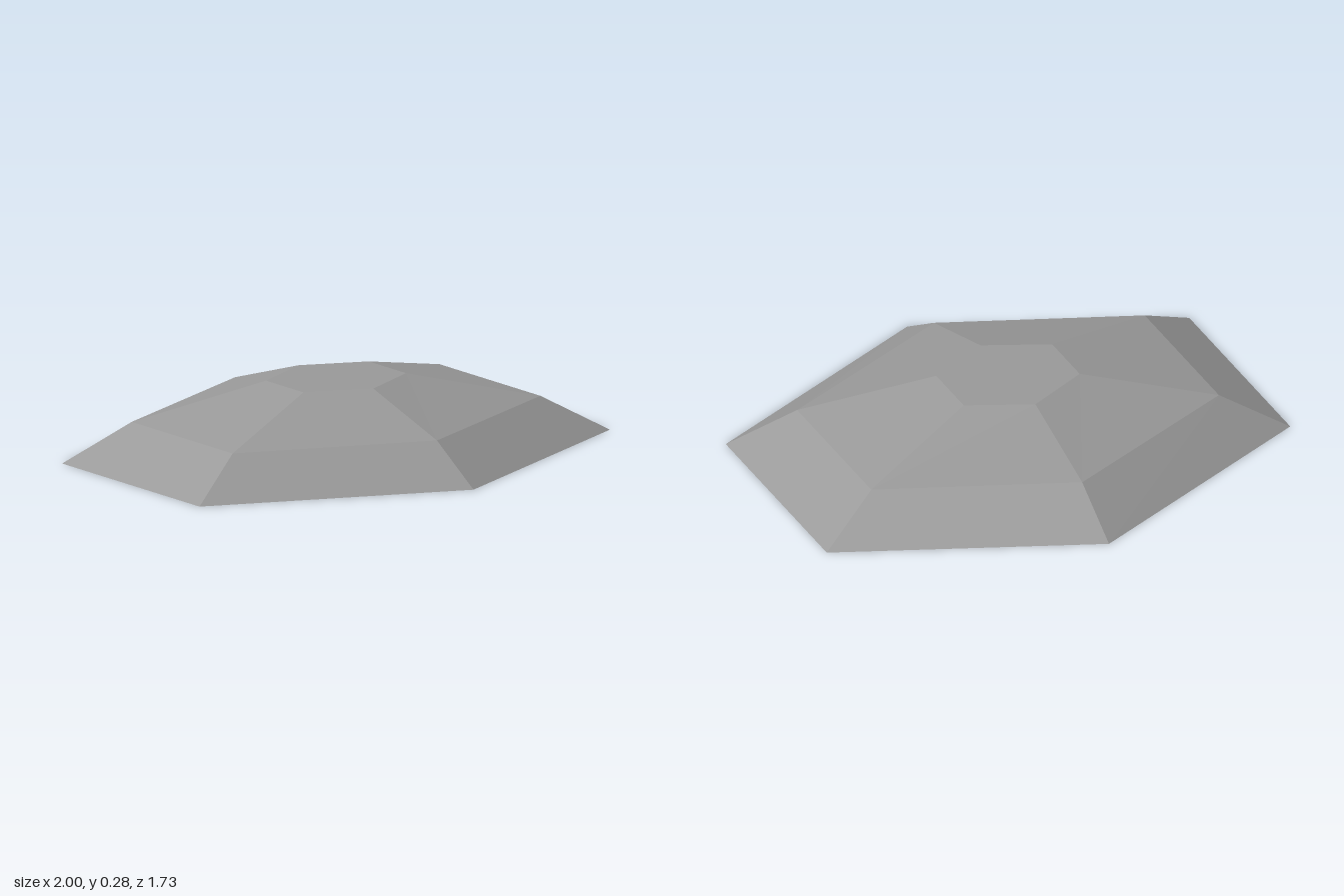
import * as THREE from 'three';

// Corner x, front/back tip z, side corner z, height for each hexagonal tier
const TIERS = [
  { x: 1, tip: 0.866, side: 0.433, y: 0 },
  { x: 0.75, tip: 0.636, side: 0.318, y: 0.15 },
  { x: 0.25, tip: 0.235, side: 0.118, y: 0.277 },
];

// Six corners, counterclockwise seen from above, starting at the front tip
const ring = ({ x, tip, side, y }) => [
  [0, y, tip], [x, y, side], [x, y, -side],
  [0, y, -tip], [-x, y, -side], [-x, y, side],
];

function meshFrom(name, triangles, material) {
  const geometry = new THREE.BufferGeometry();
  geometry.setAttribute('position', new THREE.Float32BufferAttribute(triangles.flat(), 3));
  geometry.computeVertexNormals(); // unshared corners keep every facet flat
  const mesh = new THREE.Mesh(geometry, material);
  mesh.name = name;
  return mesh;
}

// Sloped band of six facets between two rings
function band(lower, upper) {
  const out = [];
  for (let i = 0; i < 6; i++) {
    const j = (i + 1) % 6;
    out.push(lower[i], lower[j], upper[j], lower[i], upper[j], upper[i]);
  }
  return out;
}

// Flat hexagonal cap facing up or down
function cap(points, up) {
  const out = [];
  for (let i = 1; i < 5; i++) {
    out.push(points[0], ...(up ? [points[i], points[i + 1]] : [points[i + 1], points[i]]));
  }
  return out;
}

export function createModel() {
  const model = new THREE.Group();
  model.name = 'hexagonalDome';
  const grey = new THREE.MeshStandardMaterial({ color: 0x999999 });
  grey.name = 'grey';

  const [base, shoulder, crown] = TIERS.map(ring);
  model.add(
    meshFrom('underside', cap(base, false), grey),
    meshFrom('lowerSlope', band(base, shoulder), grey),
    meshFrom('upperSlope', band(shoulder, crown), grey),
    meshFrom('crownPlate', cap(crown, true), grey),
  );
  return model;
}
